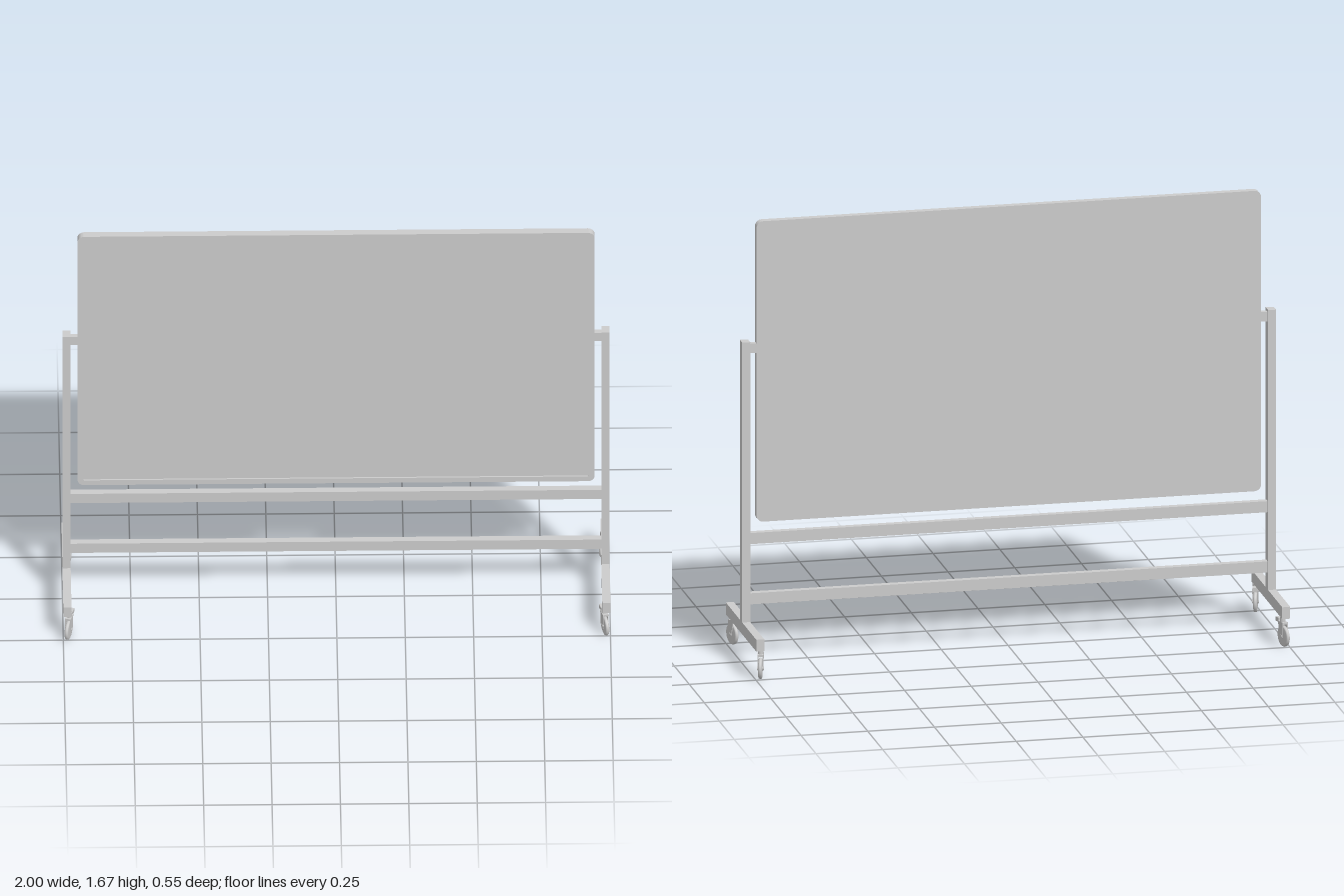
import * as THREE from 'three';

const material = new THREE.MeshStandardMaterial({ color: 0xcccccc });

function add(parent, name, geometry, x = 0, y = 0, z = 0) {
  const mesh = new THREE.Mesh(geometry, material);
  mesh.name = name;
  mesh.position.set(x, y, z);
  parent.add(mesh);
  return mesh;
}

const box = (w, h, d) => new THREE.BoxGeometry(w, h, d);

// Cylinder lying along x
const axle = (r, w, n = 28) => new THREE.CylinderGeometry(r, r, w, n).rotateZ(Math.PI / 2);

// Counter-clockwise rounded rectangle centred on the origin
function roundedRect(target, w, h, r) {
  const x = w / 2 - r, y = h / 2 - r;
  target.absarc(x, y, r, 0, Math.PI / 2);
  target.absarc(-x, y, r, Math.PI / 2, Math.PI);
  target.absarc(-x, -y, r, Math.PI, Math.PI * 1.5);
  target.absarc(x, -y, r, Math.PI * 1.5, Math.PI * 2);
  target.closePath();
  return target;
}

// Board: rounded frame around a panel recessed at the front, flush at the back
function createBoard() {
  const board = new THREE.Group();
  board.name = 'board';
  const w = 1.89, h = 1.142;
  const outline = roundedRect(new THREE.Shape(), w, h, 0.025);
  outline.holes.push(roundedRect(new THREE.Path(), w - 0.044, h - 0.044, 0.004));
  const frame = new THREE.ExtrudeGeometry(outline, { depth: 0.028, bevelEnabled: false, curveSegments: 8 });
  add(board, 'boardFrame', frame, 0, 0, -0.014);
  add(board, 'writingPanel', box(w - 0.044, h - 0.044, 0.022), 0, 0, -0.003);
  board.position.y = 1.103;
  return board;
}

// Caster: swivel stem, two fork cheeks, wheel with hubs, and a brake tab
function createCaster() {
  const caster = new THREE.Group();
  caster.name = 'caster';
  const tyre = [[0.014, -0.007], [0.034, -0.007], [0.038, -0.005], [0.04, 0], [0.038, 0.005], [0.034, 0.007], [0.014, 0.007]]
    .map(([r, y]) => new THREE.Vector2(r, y));
  add(caster, 'wheel', new THREE.LatheGeometry(tyre, 32).rotateZ(Math.PI / 2), 0, 0.04, 0);
  add(caster, 'wheelHub', axle(0.016, 0.012), 0, 0.04, 0);
  add(caster, 'axle', axle(0.006, 0.026, 16), 0, 0.04, 0);
  const cheek = new THREE.Shape();
  cheek.moveTo(-0.025, 0.094);
  cheek.lineTo(-0.01, 0.036);
  cheek.quadraticCurveTo(0, 0.028, 0.01, 0.036);
  cheek.lineTo(0.012, 0.094);
  cheek.closePath();
  for (const s of [-1, 1]) {
    const plate = new THREE.ExtrudeGeometry(cheek, { depth: 0.003, bevelEnabled: false });
    plate.translate(0, 0, -0.0015).rotateY(-Math.PI / 2);
    add(caster, 'forkCheek', plate, s * 0.0095, 0, 0);
  }
  add(caster, 'forkBridge', box(0.022, 0.008, 0.037), 0, 0.09, -0.0065);
  add(caster, 'swivelStem', new THREE.CylinderGeometry(0.01, 0.01, 0.02, 20), 0, 0.102, -0.006);
  add(caster, 'brakeTab', box(0.018, 0.016, 0.024), 0, 0.096, -0.034);
  return caster;
}

export function createModel() {
  const model = new THREE.Group();
  model.name = 'mobileWhiteboard';
  model.add(createBoard());

  // Cross rails
  for (const y of [0.47, 0.241]) add(model, 'crossRail', box(1.942, 0.042, 0.026), 0, y, 0);

  for (const sx of [-1, 1]) {
    const side = new THREE.Group();
    side.name = sx > 0 ? 'leftStand' : 'rightStand';
    model.add(side);
    add(side, 'post', box(0.03, 1.065, 0.04), sx * 0.985, 0.6865, 0);
    add(side, 'foot', box(0.03, 0.045, 0.51), sx * 0.985, 0.1325, 0);

    // Pivot bracket holding the board
    add(side, 'pivotBracket', box(0.032, 0.036, 0.02), sx * 0.957, 1.192, 0);

    // Casters turned slightly outward
    for (const sz of [-1, 1]) {
      const caster = createCaster();
      caster.position.set(sx * 0.98, 0, sz * 0.235);
      caster.rotation.y = Math.atan2(sx * 0.28, sz);
      side.add(caster);
    }
  }
  return model;
}
